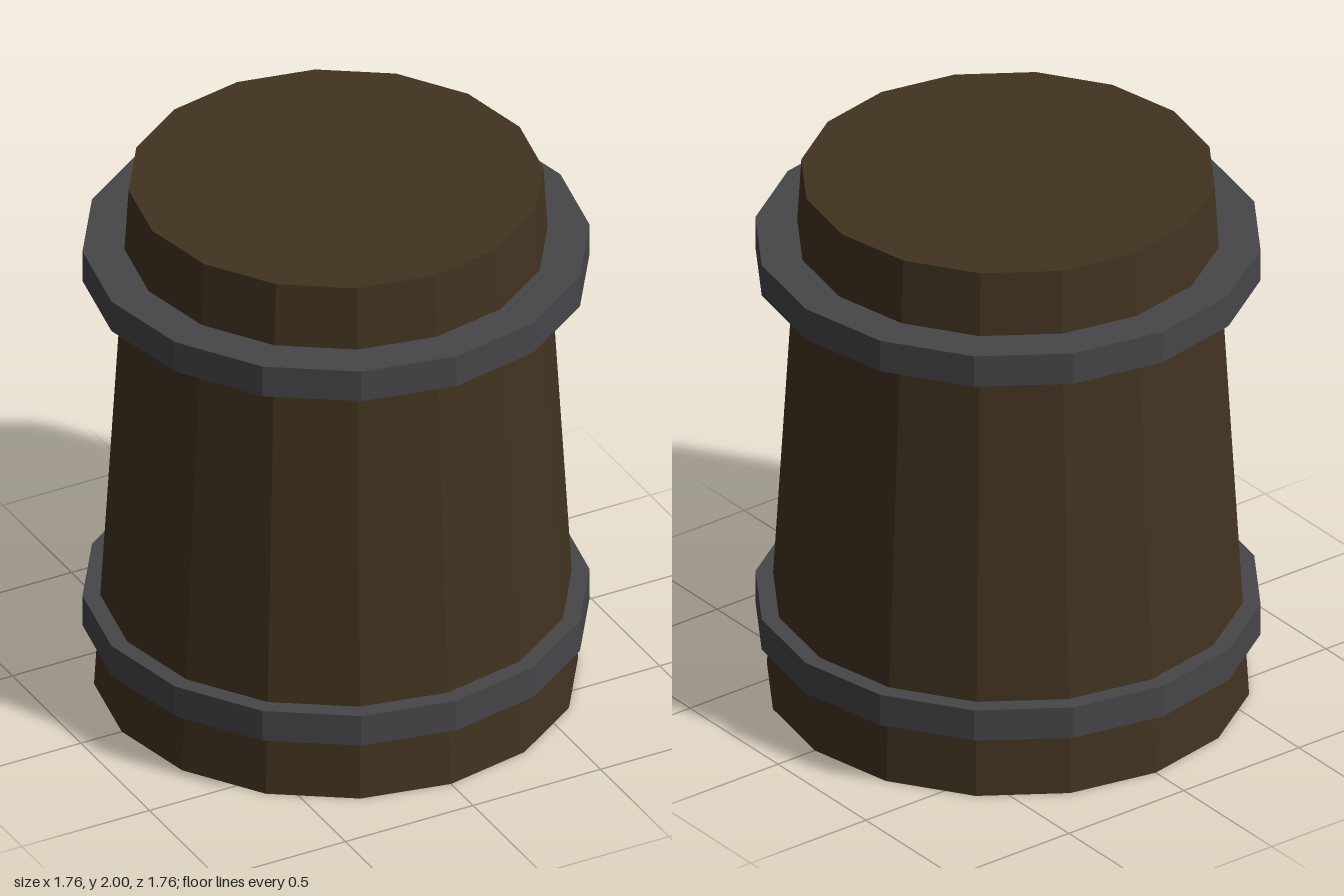
import * as THREE from 'three';

const SIDES = 16;

export function createModel() {
  const model = new THREE.Group();
  model.name = 'barrel';

  const wood = new THREE.MeshStandardMaterial({ color: 0x423320 });
  wood.name = 'dark wood';
  const iron = new THREE.MeshStandardMaterial({ color: 0x464549 });
  iron.name = 'dark iron';
  const black = new THREE.MeshStandardMaterial({ color: 0x060606 });
  black.name = 'black underside';

  // Closed faceted drum from y0 to y1: sides and top in one colour, underside black
  function drum(name, rTop, rBottom, y0, y1, material) {
    const faceted = new THREE.CylinderGeometry(rTop, rBottom, y1 - y0, SIDES).toNonIndexed();
    faceted.computeVertexNormals();
    const mesh = new THREE.Mesh(faceted, [material, material, black]);
    mesh.name = name;
    mesh.position.y = (y0 + y1) / 2;
    model.add(mesh);
  }

  // Tapered wooden body with flat lid and base
  drum('body', 0.72, 0.84, 0, 2, wood);

  // Two iron hoops of equal size
  drum('lowerHoop', 0.88, 0.88, 0.24, 0.36, iron);
  drum('upperHoop', 0.88, 0.88, 1.64, 1.76, iron);

  return model;
}
